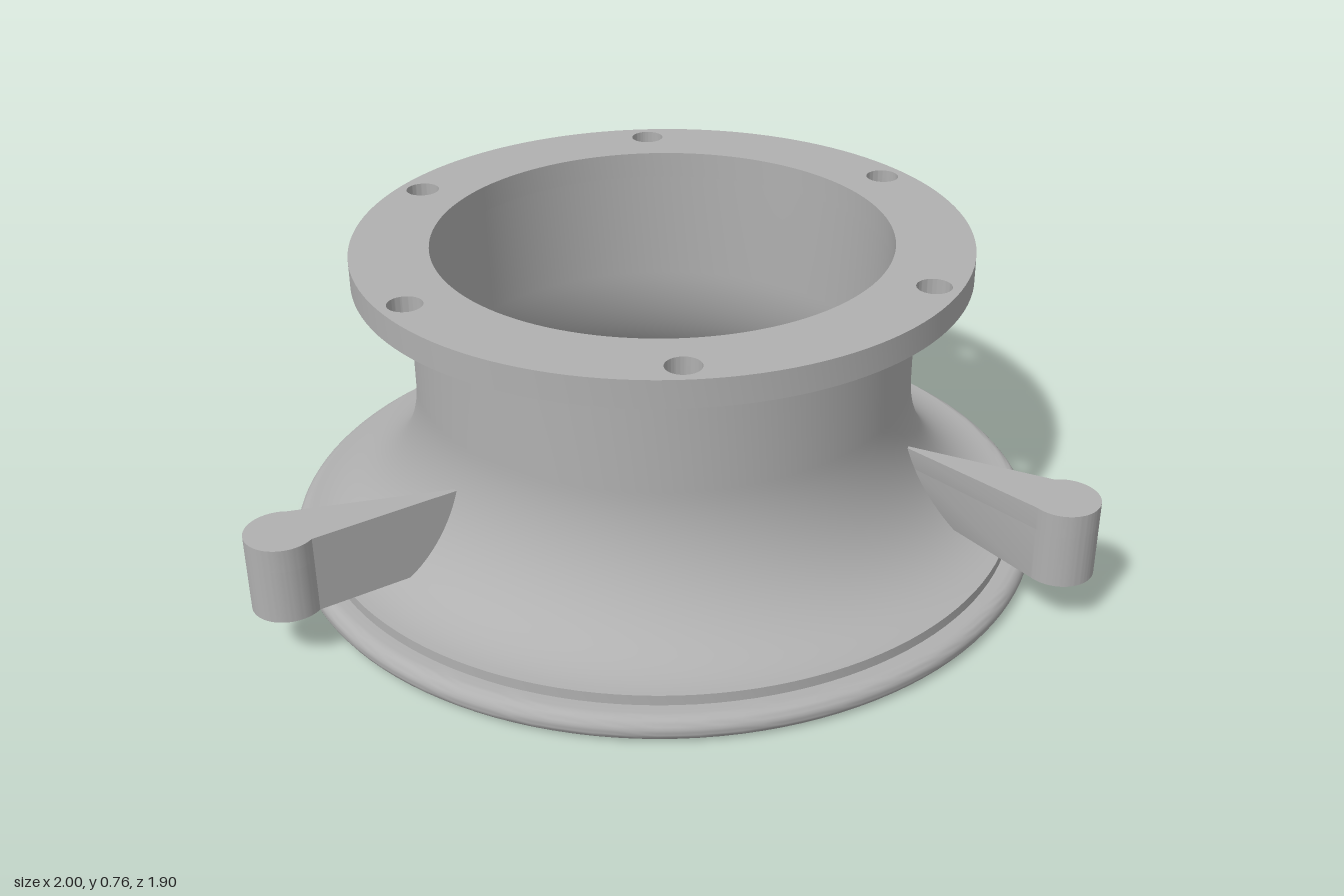
import * as THREE from 'three';
import { toCreasedNormals } from 'three/addons/utils/BufferGeometryUtils.js';

const CENTER_X = -0.085;
const metal = new THREE.MeshStandardMaterial({ color: 0xb0b0b0 });
metal.name = 'grey metal';

function part(name, geometry) {
  const mesh = new THREE.Mesh(toCreasedNormals(geometry, 0.5), metal);
  mesh.name = name;
  return mesh;
}

// Extrudes a plan shape upwards from y0 to y1
function slab(shape, y0, y1, curveSegments) {
  const g = new THREE.ExtrudeGeometry(shape, { depth: y1 - y0, bevelEnabled: false, curveSegments });
  return g.rotateX(-Math.PI / 2).translate(0, y0, 0);
}

function hole(x, y, r) {
  return new THREE.Path().absarc(x, y, r, 0, Math.PI * 2, true);
}

// Points on an ellipse arc, as a profile of radius and height
function arc(cx, cy, rx, ry, a0, a1, steps) {
  return Array.from({ length: steps + 1 }, (_, i) => {
    const a = a0 + ((a1 - a0) * i) / steps;
    return new THREE.Vector2(cx + rx * Math.cos(a), cy + ry * Math.sin(a));
  });
}

// Flared neck with a rounded rim, hollow inside
function makeBell() {
  const PI = Math.PI;
  const v = (r, y) => new THREE.Vector2(r, y);
  const profile = [
    v(0.86, 0),
    ...arc(0.885, 0.03, 0.03, 0.03, -PI / 2, PI / 2, 14),
    v(0.86, 0.06),
    ...arc(0.86, 0.42, 0.263, 0.335, PI * 1.5, PI, 24),
    v(0.597, 0.695),
    v(0.543, 0.695),
    ...arc(0.86, 0.42, 0.317, 0.39, PI, PI * 1.5, 24),
    v(0.86, 0),
  ];
  return part('flaredNeck', new THREE.LatheGeometry(profile, 128));
}

// Top ring with six bolt holes
function makeFlange() {
  const shape = new THREE.Shape().absarc(0, 0, 0.727, 0, Math.PI * 2);
  shape.holes.push(hole(0, 0, 0.543));
  for (let i = 0; i < 6; i++) {
    const a = (i * Math.PI) / 3;
    shape.holes.push(hole(0.666 * Math.cos(a), 0.666 * Math.sin(a), 0.04));
  }
  return part('topFlange', slab(shape, 0.695, 0.76, 64));
}

// Arm with a round end and a blind hole from below
function makeArm(angle) {
  const Y0 = 0.12, YM = 0.25, Y1 = 0.305;
  const R = 0.081, W = 0.068, END = 1.004;
  const turn = Math.PI - Math.asin(W / R);
  const outline = () => new THREE.Shape()
    .moveTo(0.6, -W)
    .absarc(END, 0, R, -turn, turn, false)
    .lineTo(0.6, W)
    .closePath();
  const lower = outline();
  lower.holes.push(hole(END, 0, 0.036));

  const arm = new THREE.Group();
  arm.name = 'mountingArm';
  for (const [name, shape, y0, y1] of [['armLower', lower, Y0, YM], ['armUpper', outline(), YM, Y1]]) {
    const g = slab(shape, y0, y1, 32);
    const p = g.attributes.position;
    // Slope the root so it stays inside the flared wall
    for (let i = 0; i < p.count; i++) {
      if (p.getX(i) < 0.61) p.setX(i, 0.7 - (0.115 * (p.getY(i) - Y0)) / (Y1 - Y0));
    }
    arm.add(part(name, g));
  }
  arm.rotation.y = angle;
  return arm;
}

export function createModel() {
  const model = new THREE.Group();
  model.name = 'flangedBellMount';
  const body = new THREE.Group();
  body.name = 'body';
  body.position.x = CENTER_X;
  body.add(makeBell(), makeFlange());
  for (let i = 0; i < 3; i++) body.add(makeArm((i * Math.PI * 2) / 3));
  model.add(body);
  return model;
}
